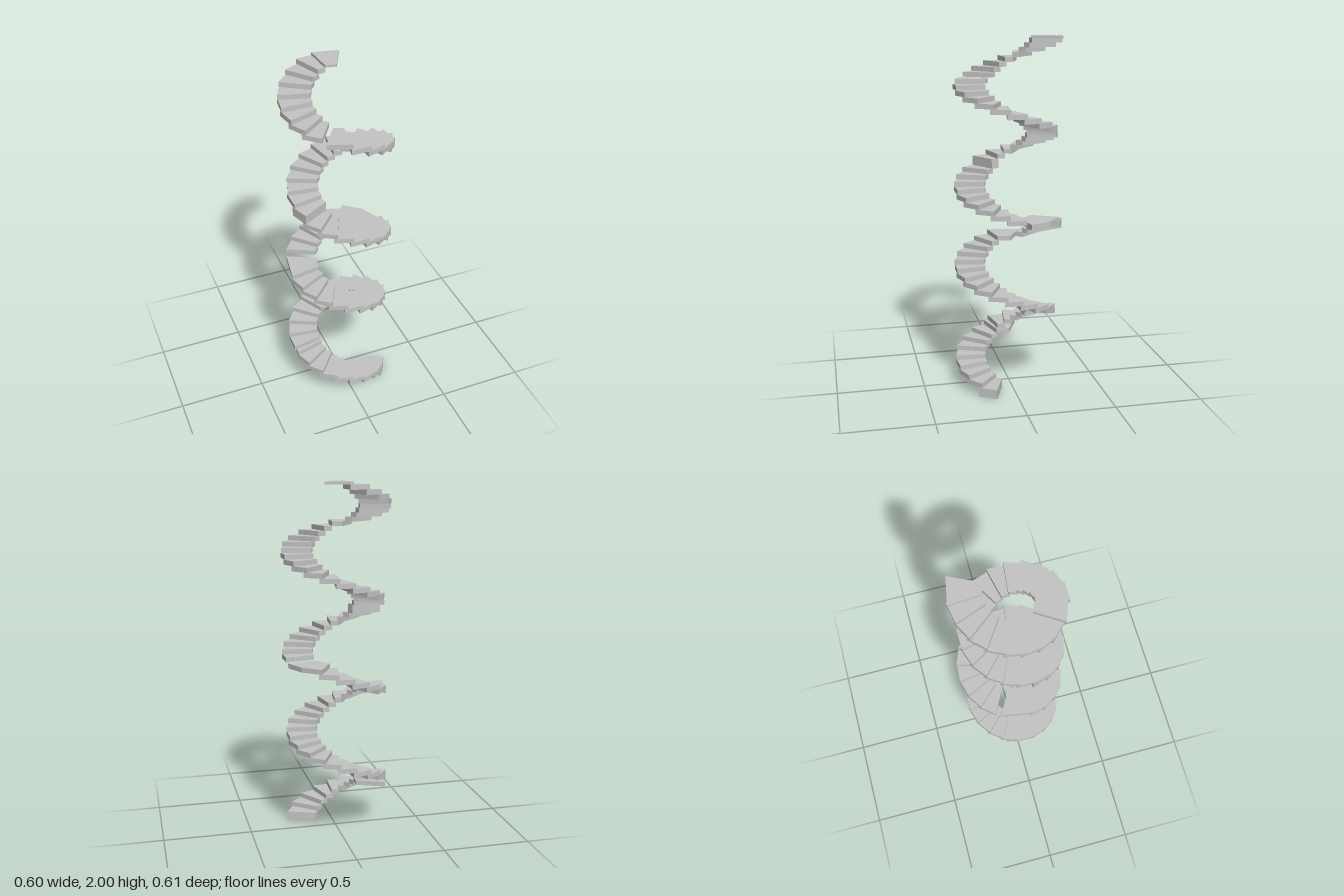
import * as THREE from 'three';

const RISE = 0.0272, INNER = 0.119, OUTER = 0.29, STEP = 18;

// Flat wedge-shaped slab between two angles (degrees, from +x towards +z)
function wedge(start, width, height, centre) {
  const segments = Math.max(1, Math.round(width / 30));
  const points = [];
  const add = (radius, k) => {
    const a = THREE.MathUtils.degToRad(start + width * k / segments);
    points.push(new THREE.Vector2(centre[0] + radius * Math.cos(a), -centre[1] - radius * Math.sin(a)));
  };
  for (let k = 0; k <= segments; k++) add(OUTER, k);
  for (let k = segments; k >= 0; k--) add(INNER, k);
  const geometry = new THREE.ExtrudeGeometry(new THREE.Shape(points), { depth: height, bevelEnabled: false });
  return geometry.rotateX(-Math.PI / 2);
}

export function createModel() {
  const group = new THREE.Group();
  group.name = 'spiralStaircase';
  const stone = new THREE.MeshStandardMaterial({ color: 0xc4c4c4 });
  stone.name = 'light grey';

  // Flights: first step, its angle, centre, and width of the landing it starts with
  const flights = [
    { first: 0, angle: 21, centre: [-0.005, 0.0175], landing: 22 },
    { first: 1, angle: 21, centre: [-0.005, 0.0175], landing: 22 },
    { first: 9, angle: 165, centre: [-0.008, 0.0175], landing: 38 },
    { first: 10, angle: 170, centre: [-0.0125, 0.0175], landing: 22 },
    { first: 30, angle: 530, centre: [-0.0125, 0.0175], landing: 38 },
    { first: 31, angle: 568, centre: [-0.0025, -0.0125], landing: 22 },
    { first: 36, angle: 658, centre: [0, -0.008], landing: 50 },
    { first: 37, angle: 708, centre: [0.0075, 0.0175], landing: 22 },
    { first: 46, angle: 870, centre: [0.0075, 0.0175], landing: 22 },
    { first: 47, angle: 870, centre: [0.0075, 0.0175], landing: 22 },
    { first: 64, angle: 1176, centre: [0, 0.005], landing: 27 },
    { first: 65, angle: 1203, centre: [-0.0125, -0.015], landing: 22 },
    { first: 73, angle: 1346, centre: [-0.0055, -0.014], landing: 30 },
  ];

  flights.forEach((flight, f) => {
    const end = f + 1 < flights.length ? flights[f + 1].first : 74;
    for (let i = flight.first; i < end; i++) {
      const n = i - flight.first;
      const width = n === 0 ? flight.landing : 22;
      // The top landing is a thinner slab
      const height = i === 73 ? 2 - 73 * RISE : RISE;
      const mesh = new THREE.Mesh(wedge(flight.angle + n * STEP, width, height, flight.centre), stone);
      mesh.position.y = i * RISE;
      mesh.name = width > 22 ? 'landing' : 'step';
      group.add(mesh);
    }
  });
  return group;
}
